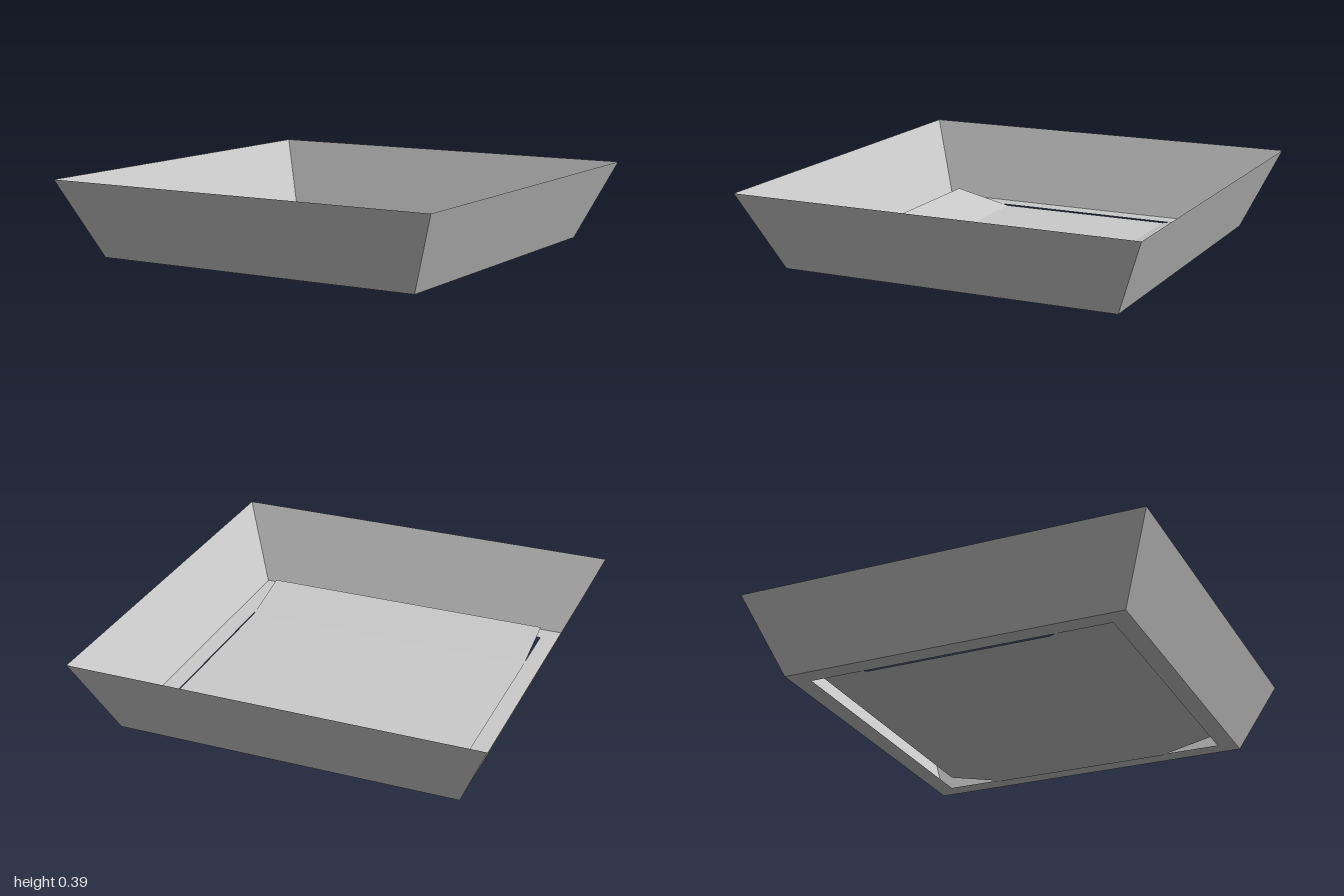
import * as THREE from 'three';

const TOP = 0.386, RIM = 0.006;      // heights of the upper edge and the bottom rim
const OUTER = 1, BASE = 0.836, HOLE = 0.746;

export function createModel() {
  const group = new THREE.Group();
  const material = new THREE.MeshStandardMaterial({
    color: 0xcccccc, flatShading: true, side: THREE.DoubleSide,
  });
  const add = (name, geometry) => {
    const mesh = new THREE.Mesh(geometry, material);
    mesh.name = name;
    group.add(mesh);
  };
  const square = (PathType, h) => new PathType(
    [[-h, -h], [h, -h], [h, h], [-h, h]].map(([x, y]) => new THREE.Vector2(x, y)));

  // Four flared walls: an open four-sided frustum
  const walls = new THREE.CylinderGeometry(
    OUTER * Math.SQRT2, BASE * Math.SQRT2, TOP - RIM, 4, 1, true);
  walls.rotateY(Math.PI / 4);
  walls.translate(0, (TOP + RIM) / 2, 0);
  add('flaredWalls', walls);

  // Flat rim around the floor opening
  const rimShape = square(THREE.Shape, BASE);
  rimShape.holes.push(square(THREE.Path, HOLE));
  const rim = new THREE.ShapeGeometry(rimShape);
  rim.rotateX(-Math.PI / 2);
  rim.translate(0, RIM, 0);
  add('bottomRim', rim);

  // Loose floor sheet: flat in the middle, bent up at the front and back
  const sheet = new THREE.PlaneGeometry(2 * HOLE, 2 * HOLE, 1, 3);
  sheet.rotateX(-Math.PI / 2);
  const pos = sheet.attributes.position;
  for (let i = 0; i < pos.count; i++) {
    const z = pos.getZ(i);
    const isEnd = Math.abs(z) > 0.5;
    pos.setY(i, isEnd ? 0.066 : 0);
    if (!isEnd) pos.setZ(i, Math.sign(z) * 0.447);
  }
  sheet.computeVertexNormals();
  add('floorSheet', sheet);

  return group;
}
